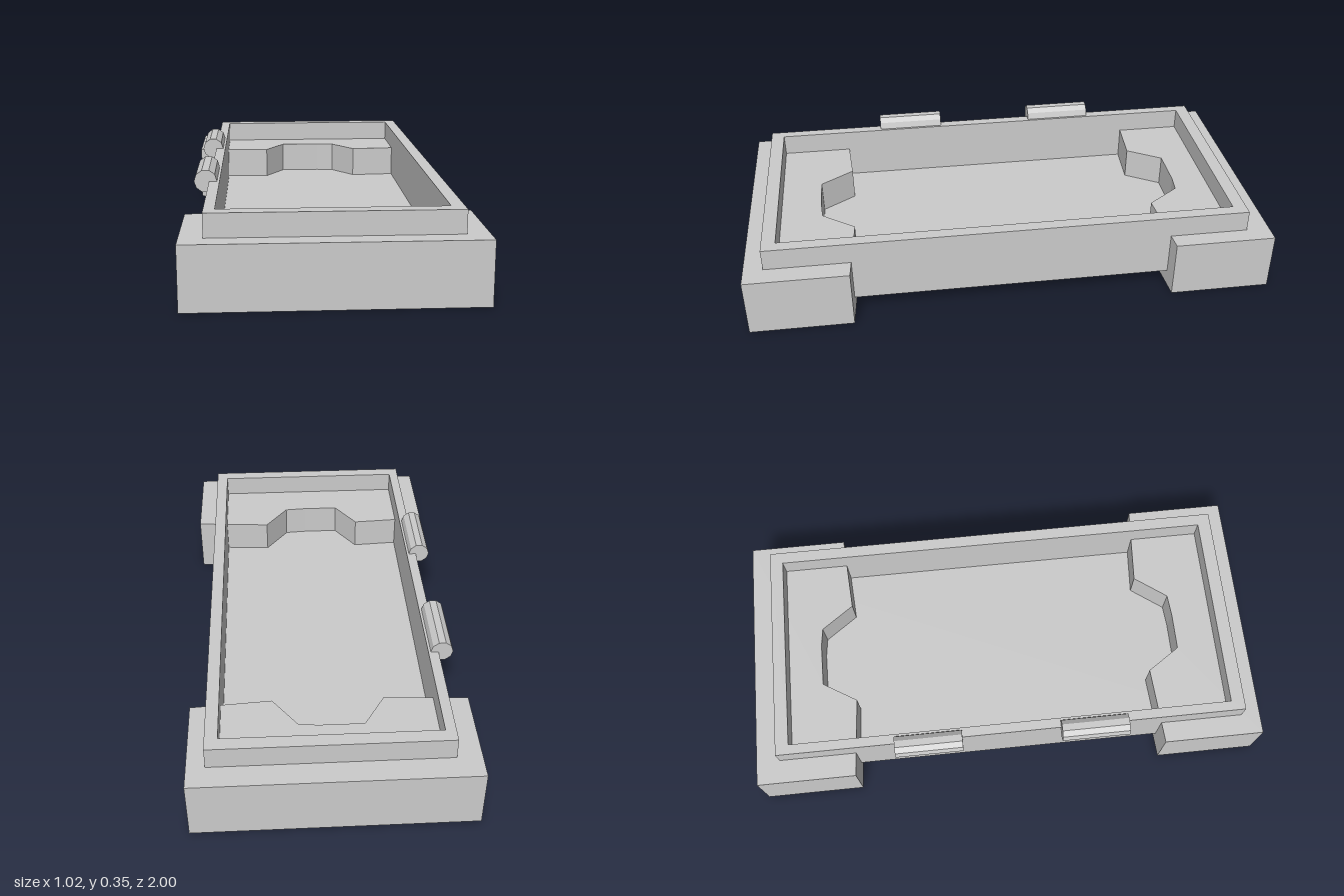
import * as THREE from 'three';

const material = new THREE.MeshStandardMaterial({ color: 0xcccccc, flatShading: true });

function addMesh(parent, name, geometry) {
  const mesh = new THREE.Mesh(geometry, material);
  mesh.name = name;
  parent.add(mesh);
  return mesh;
}

// Outline given as [x, z] points, raised from y0 to y1
const toPoints = (outline) => outline.map(([x, z]) => new THREE.Vector2(x, -z));
function slab(outline, y0, y1, hole) {
  const shape = new THREE.Shape(toPoints(outline));
  if (hole) shape.holes.push(new THREE.Path(toPoints(hole)));
  const geometry = new THREE.ExtrudeGeometry(shape, { depth: y1 - y0, bevelEnabled: false });
  return geometry.rotateX(-Math.PI / 2).translate(0, y0, 0);
}

// Counter-clockwise from above, so that the faces of a hole point into it
const rectangle = (x0, x1, z0, z1) => [[x0, z1], [x1, z1], [x1, z0], [x0, z0]];

export function createModel() {
  const group = new THREE.Group();
  group.name = 'tray';

  // Open tray: wall ring around a thin floor
  const outer = rectangle(-0.422, 0.434, -0.91, 0.927);
  const inner = rectangle(-0.384, 0.388, -0.859, 0.875);
  addMesh(group, 'trayWalls', slab(outer, 0.06, 0.309, inner));
  addMesh(group, 'trayFloor', slab(inner, 0.06, 0.1));

  // End blocks, each with a trapezoid notch facing the middle
  addMesh(group, 'frontBlock', slab([
    [-0.502, 0.61], [-0.2, 0.592], [-0.115, 0.72], [0.03, 0.72], [0.115, 0.714],
    [0.207, 0.589], [0.512, 0.612], [0.512, 1], [-0.502, 1],
  ], 0, 0.226));
  addMesh(group, 'backBlock', slab([
    [-0.512, -0.615], [-0.205, -0.595], [-0.125, -0.727], [0.04, -0.727], [0.112, -0.719],
    [0.203, -0.593], [0.5, -0.614], [0.5, -1], [-0.512, -1],
  ], 0, 0.226));

  // Ten-sided hinge barrels on the right rim
  for (const [name, z] of [['frontHinge', 0.33], ['backHinge', -0.318]]) {
    const barrel = new THREE.CylinderGeometry(0.042, 0.042, 0.262, 10);
    barrel.rotateY(Math.PI / 2).rotateX(Math.PI / 2);
    addMesh(group, name, barrel).position.set(-0.435, 0.31, z);
  }
  return group;
}
